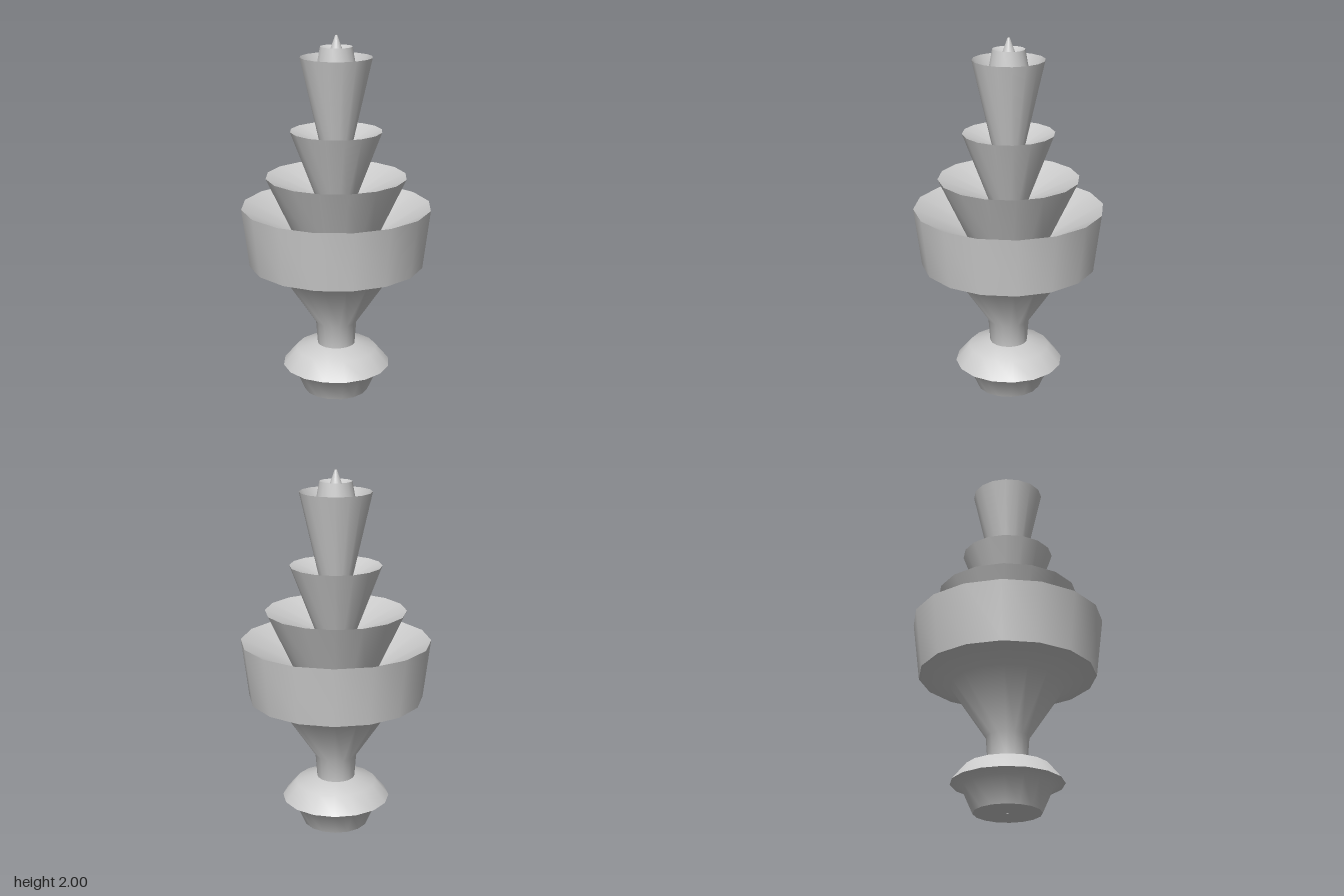
import * as THREE from 'three';
import { toCreasedNormals } from 'three/addons/utils/BufferGeometryUtils.js';

const SIDES = 16;
const HOLE = 0.006; // tiny opening left on the axis at both ends

// Each part is a turned section: [radius, height] pairs from bottom to top.
const PARTS = {
  foot: [[HOLE, 0], [0.18, 0], [0.24, 0.135], [0.3, 0.155]],
  footShoulder: [[0.3, 0.155], [0.225, 0.245], [0.105, 0.275]],
  stem: [[0.105, 0.275], [0.115, 0.405], [0.31, 0.695], [0.48, 0.75]],
  // each tier flares up to its rim, then dips inward to the base of the next
  bowl: [[0.48, 0.75], [0.52, 1.075], [0.23, 0.91]],
  lowerTier: [[0.23, 0.91], [0.385, 1.24], [0.11, 1.12]],
  middleTier: [[0.11, 1.12], [0.25, 1.49], [0.088, 1.415]],
  upperTier: [[0.088, 1.415], [0.195, 1.885], [0.124, 1.74]],
  nozzle: [[0.124, 1.74], [0.087, 1.94], [0.038, 1.91]],
  spike: [[0.038, 1.91], [HOLE, 2]],
};

export function createModel() {
  const group = new THREE.Group();
  group.name = 'tieredFountain';
  const material = new THREE.MeshStandardMaterial({ color: 0xcccccc, side: THREE.DoubleSide });

  for (const [name, profile] of Object.entries(PARTS)) {
    const points = profile.map(([r, y]) => new THREE.Vector2(r, y));
    const lathe = new THREE.LatheGeometry(points, SIDES);
    // smooth around the axis, sharp at rims and tier bases
    const mesh = new THREE.Mesh(toCreasedNormals(lathe, THREE.MathUtils.degToRad(55)), material);
    mesh.name = name;
    group.add(mesh);
  }
  return group;
}
